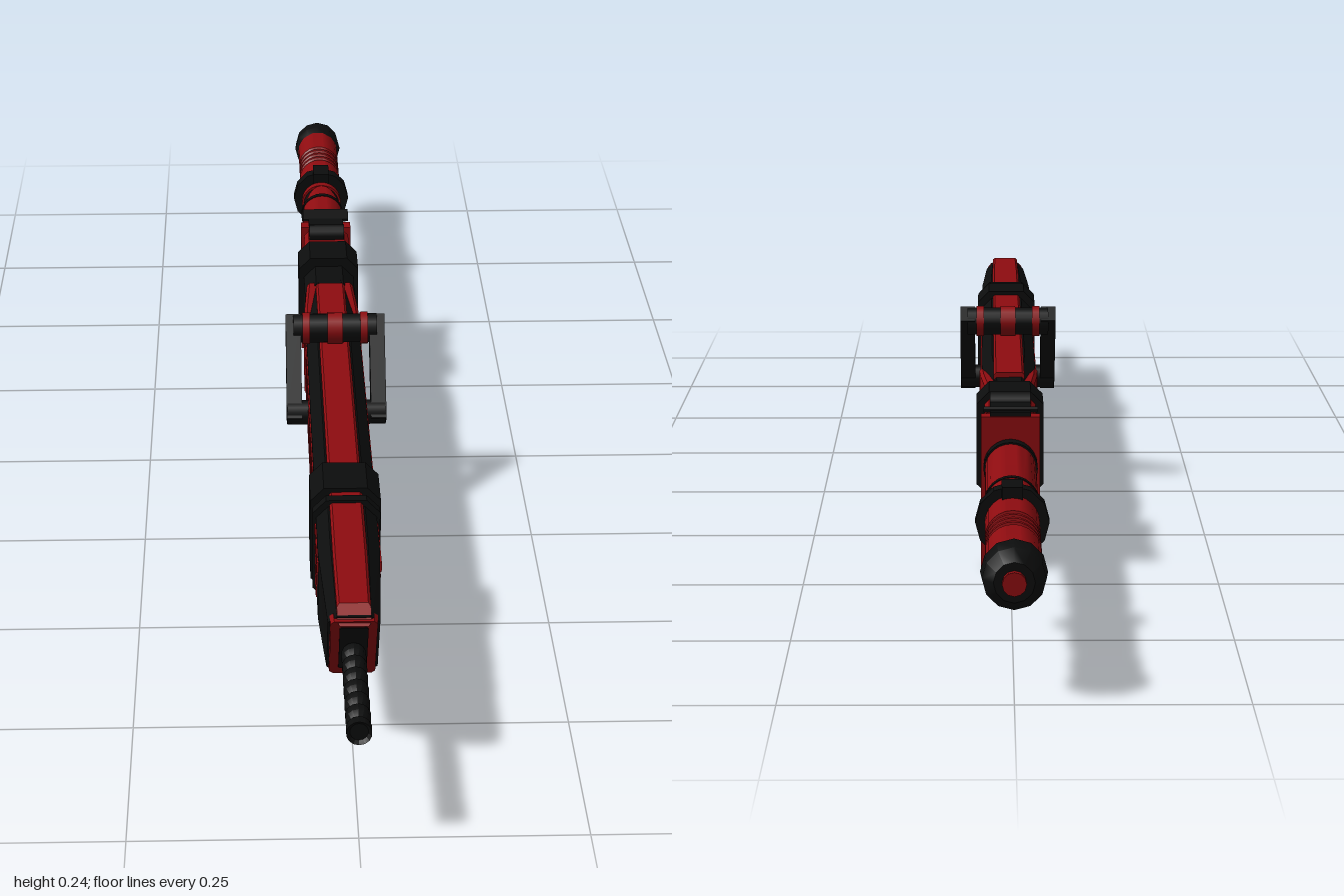
import * as THREE from 'three';
import { toCreasedNormals } from 'three/addons/utils/BufferGeometryUtils.js';

const red = new THREE.MeshStandardMaterial({ color: 0x8e0c10 });
const black = new THREE.MeshStandardMaterial({ color: 0x0c0d0d });
const AXIS = 0.132; // height of the barrel and grip axis

export function createModel() {
  const root = new THREE.Group();

  function add(name, geometry, material, parent = root) {
    const mesh = new THREE.Mesh(geometry, material);
    mesh.name = name;
    parent.add(mesh);
    return mesh;
  }

  function box(name, material, w, h, d, x, y, z) {
    const mesh = add(name, new THREE.BoxGeometry(w, h, d), material);
    mesh.position.set(x, y, z);
    return mesh;
  }

  // Chamfered rectangle, anticlockwise seen from the front; slope leans it along z
  function ring(z, w, y0, y1, c, slope = 0) {
    return [[w - c, y0], [w, y0 + c], [w, y1 - c], [w - c, y1], [c - w, y1], [-w, y1 - c], [-w, y0 + c], [c - w, y0]]
      .map(([x, y]) => [x, y, z + slope * (y - y0)]);
  }

  // Flat-faced solid through rings ordered from back to front
  function loft(name, material, rings) {
    const p = [];
    const n = rings[0].length;
    for (let i = 0; i < rings.length - 1; i++) {
      for (let j = 0; j < n; j++) {
        const a = rings[i][j], b = rings[i][(j + 1) % n];
        const c = rings[i + 1][(j + 1) % n], d = rings[i + 1][j];
        p.push(...a, ...b, ...c, ...a, ...c, ...d);
      }
    }
    const back = rings[0], front = rings[rings.length - 1];
    for (let j = 1; j < n - 1; j++) {
      p.push(...front[0], ...front[j], ...front[j + 1], ...back[0], ...back[j + 1], ...back[j]);
    }
    const g = new THREE.BufferGeometry();
    g.setAttribute('position', new THREE.Float32BufferAttribute(p, 3));
    g.computeVertexNormals();
    return add(name, g, material);
  }

  // Turned part along z from [radius, z] points ordered from back to front
  function turned(name, material, points, sides = 24) {
    const g = new THREE.LatheGeometry(points.map(([r, z]) => new THREE.Vector2(r, z)), sides);
    g.rotateX(Math.PI / 2);
    const mesh = add(name, toCreasedNormals(g, 0.6), material);
    mesh.position.y = AXIS;
    return mesh;
  }

  const disc = (name, material, r, z0, z1, sides) =>
    turned(name, material, [[0, z0], [r, z0], [r, z1], [0, z1]], sides);

  // Square bar between two points
  function bar(name, material, from, to, w, h) {
    const a = new THREE.Vector3(...from), b = new THREE.Vector3(...to);
    const mesh = add(name, new THREE.BoxGeometry(w, h, a.distanceTo(b)), material);
    mesh.position.copy(a).lerp(b, 0.5);
    mesh.lookAt(b);
    return mesh;
  }

  // Thin beaded barrel
  const barrel = [[0, 0.76]];
  for (let z = 0.76; z < 0.985; z += 0.028) barrel.push([0.01, z], [0.014, z + 0.007], [0.014, z + 0.02]);
  barrel.push([0.01, 1], [0, 1]);
  turned('barrel', black, barrel, 14);

  // Long body with a slanted nose
  loft('body', black, [
    ring(-0.2, 0.027, 0.08, 0.19, 0.012),
    ring(-0.1, 0.033, 0.08, 0.192, 0.014),
    ring(0, 0.036, 0.08, 0.192, 0.014),
    ring(0.66, 0.036, 0.08, 0.192, 0.014),
    ring(0.765, 0.029, 0.08, 0.188, 0.01, 0.72),
  ]);
  loft('noseFrame', red, [
    ring(0.755, 0.027, 0.083, 0.185, 0.004, 0.72),
    ring(0.775, 0.026, 0.083, 0.185, 0.004, 0.72),
  ]);
  loft('noseOpening', black, [
    ring(0.77, 0.016, 0.095, 0.174, 0.002, 0.72),
    ring(0.786, 0.016, 0.095, 0.174, 0.002, 0.72),
  ]);
  loft('topStrip', red, [
    ring(-0.16, 0.02, 0.18, 0.197, 0.003),
    ring(0.7, 0.02, 0.18, 0.197, 0.003),
    ring(0.85, 0.019, 0.18, 0.197, 0.003, -1.4),
  ]);

  // Side stripes and rear cheek panels
  for (const side of [1, -1]) {
    for (let i = 0; i < 3; i++) {
      const z1 = 0.62 + i * 0.025;
      box('sideStripe', red, 0.003, 0.013, z1 + 0.02, side * 0.036, 0.108 + i * 0.028, (z1 - 0.02) / 2);
    }
  }
  loft('cheekPanels', red, [
    ring(-0.185, 0.032, 0.082, 0.188, 0.004),
    ring(-0.1, 0.037, 0.084, 0.184, 0.004),
    ring(-0.02, 0.039, 0.09, 0.177, 0.004),
  ]);

  // Clamping bands
  const band = (name, z0, z1, w, y0, y1) =>
    loft(name, black, [ring(z0, w, y0, y1, 0.016), ring(z1, w, y0, y1, 0.016)]);
  band('frontBand', 0.46, 0.535, 0.042, 0.068, 0.202);
  band('frontRing', 0.55, 0.565, 0.04, 0.07, 0.2);
  band('rearBand', -0.315, -0.245, 0.042, 0.068, 0.202);

  // Receiver, end plate and spacer
  band('receiverFront', -0.25, -0.175, 0.035, 0.06, 0.19);
  loft('receiver', red, [ring(-0.385, 0.032, 0.065, 0.192, 0.006), ring(-0.3, 0.032, 0.065, 0.192, 0.006)]);
  band('spacer', -0.41, -0.375, 0.03, 0.06, 0.186);
  box('receiverRail', black, 0.066, 0.012, 0.2, 0, 0.067, -0.31);
  box('endPlate', red, 0.072, 0.19, 0.022, 0, 0.097, -0.412);
  box('endPlateRib', red, 0.05, 0.12, 0.012, 0, 0.13, -0.395);

  // Tapered guard beneath the receiver with dark edges
  const guardRing = (z, y0, low) => [[low, y0], [0.029, 0.07], [-0.029, 0.07], [-low, y0]].map(([x, y]) => [x, y, z]);
  loft('lowerGuard', red, [guardRing(-0.41, 0.008, 0.017), guardRing(-0.25, 0.008, 0.017), guardRing(-0.185, 0.058, 0.026)]);
  for (const side of [1, -1]) {
    bar('guardFrontEdge', black, [side * 0.027, 0.062, -0.182], [side * 0.017, 0.01, -0.25], 0.008, 0.014);
    bar('guardLowerEdge', black, [side * 0.017, 0.008, -0.25], [side * 0.017, 0.008, -0.405], 0.006, 0.008);
  }
  box('guardFrontLip', black, 0.036, 0.008, 0.01, 0, 0.007, -0.25);
  box('guardTopLip', black, 0.058, 0.01, 0.012, 0, 0.054, -0.188);

  // Rear sight
  const drum = add('sightDrum', new THREE.CylinderGeometry(0.013, 0.013, 0.05, 12), black);
  drum.rotation.z = Math.PI / 2;
  drum.position.set(0, 0.198, -0.36);
  box('sightPlate', black, 0.05, 0.005, 0.075, 0, 0.198, -0.4);
  bar('sightFlare', black, [0, 0.198, -0.415], [0, 0.206, -0.437], 0.066, 0.004);

  // Folding carry handle
  for (const side of [1, -1]) {
    bar('handleArm', black, [side * 0.055, 0.236, 0.066], [side * 0.055, 0.125, 0.155], 0.02, 0.026);
    const pivot = add('handlePivot', new THREE.CylinderGeometry(0.016, 0.016, 0.034, 16), black);
    pivot.rotation.z = Math.PI / 2;
    pivot.position.set(side * 0.047, 0.134, 0.147);
  }
  const across = (name, material, r, length, x) => {
    const m = add(name, new THREE.CylinderGeometry(r, r, length, 16), material);
    m.rotation.z = Math.PI / 2;
    m.position.set(x, 0.224, 0.076);
  };
  across('handleBar', black, 0.019, 0.11, 0);
  for (const x of [-0.038, 0, 0.038]) across('handleBarRing', red, 0.021, x ? 0.01 : 0.02, x);

  // Grip core with a sleeve cut off at a slant
  disc('gripCore', black, 0.027, -0.72, -0.41);
  const sleeve = new THREE.CylinderGeometry(0.031, 0.031, 0.24, 28, 1);
  sleeve.rotateX(Math.PI / 2);
  sleeve.translate(0, 0, -0.55);
  const pos = sleeve.attributes.position;
  for (let i = 0; i < pos.count; i++) {
    if (pos.getZ(i) < -0.6) pos.setZ(i, -0.575 - 3.1 * pos.getY(i));
  }
  add('gripSleeve', toCreasedNormals(sleeve, 0.6), red).position.y = AXIS;
  disc('gripCollar', black, 0.033, -0.445, -0.425);
  disc('sleeveRing', black, 0.032, -0.632, -0.622);
  disc('redCollar', red, 0.03, -0.69, -0.675);
  disc('gripRing', black, 0.042, -0.722, -0.7, 12);
  box('ringSwitch', black, 0.024, 0.018, 0.045, 0, AXIS + 0.034, -0.712);

  // Ridged rear grip and pommel
  const grip = [[0, -0.95], [0.031, -0.95], [0.031, -0.86]];
  for (let i = 0; i < 4; i++) {
    const z = -0.855 + i * 0.018;
    grip.push([0.025, z], [0.025, z + 0.005], [0.031, z + 0.006], [0.031, z + 0.013]);
  }
  grip.push([0.031, -0.72], [0, -0.72]);
  turned('rearGrip', red, grip);
  turned('pommel', black, [[0, -0.992], [0.022, -0.992], [0.034, -0.975], [0.036, -0.945], [0.031, -0.93], [0, -0.93]], 12);
  disc('pommelTip', red, 0.013, -1, -0.98, 12);

  return root;
}
